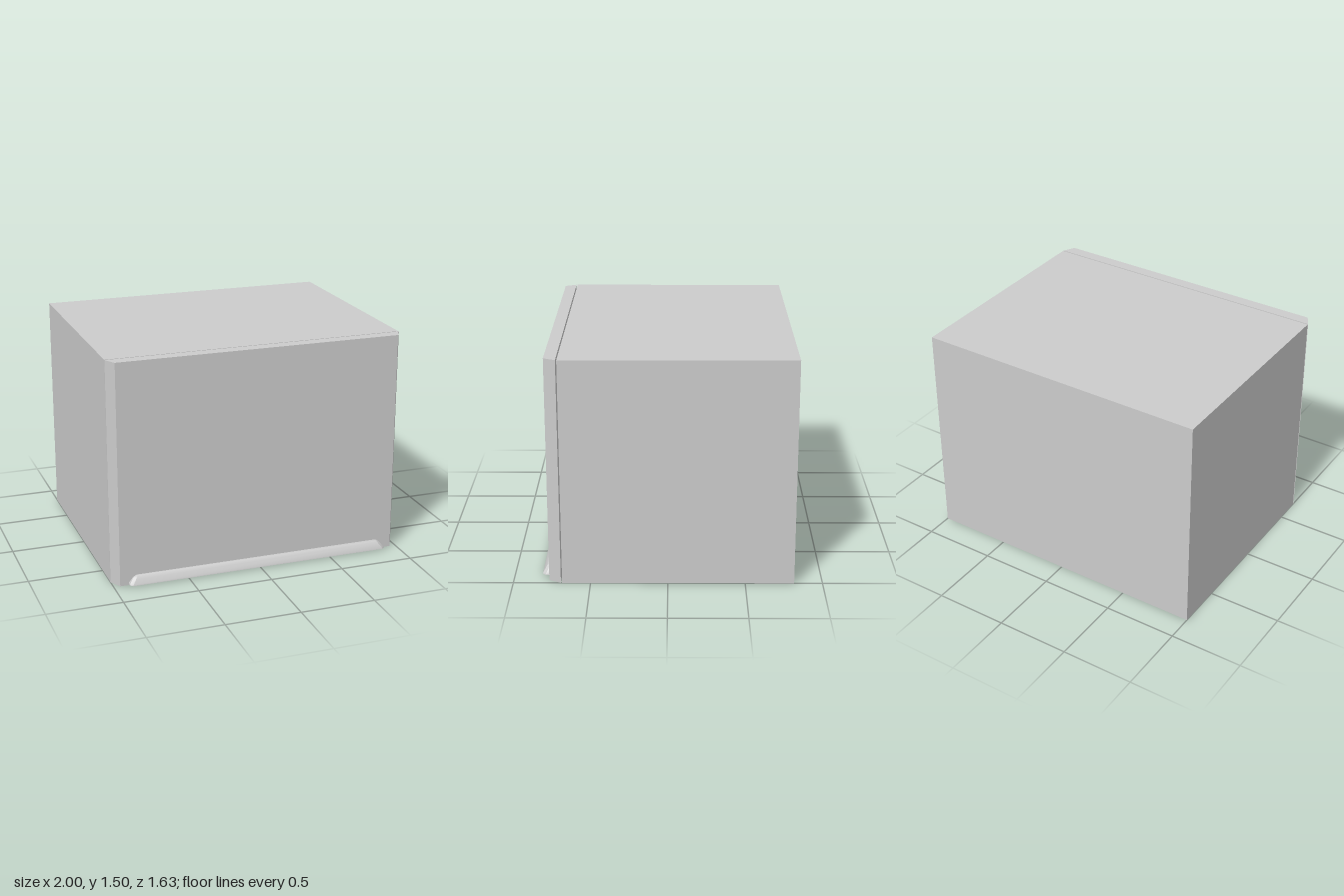
import * as THREE from 'three';
import { toCreasedNormals } from 'three/addons/utils/BufferGeometryUtils.js';

const HEIGHT = 1.5;
const PANEL_FRONT = 0.77;

const material = () => new THREE.MeshStandardMaterial({ color: 0xcccccc });

function add(group, name, geometry) {
  const mesh = new THREE.Mesh(geometry, material());
  mesh.name = name;
  group.add(mesh);
  return mesh;
}

// Skins a stack of equal-length rings (counter-clockwise from above, bottom to top) and caps both ends
function loft(rings) {
  const n = rings[0].length;
  const index = [];
  for (let r = 0; r < rings.length - 1; r++) {
    for (let i = 0; i < n; i++) {
      const a = r * n + i, b = r * n + (i + 1) % n;
      index.push(a, b, b + n, a, b + n, a + n);
    }
  }
  const top = (rings.length - 1) * n;
  for (let i = 1; i < n - 1; i++) {
    index.push(0, i + 1, i, top, top + i, top + i + 1);
  }
  const geometry = new THREE.BufferGeometry();
  geometry.setAttribute('position', new THREE.Float32BufferAttribute(rings.flat(2), 3));
  geometry.setIndex(index);
  return toCreasedNormals(geometry, 0.5);
}

// One level of the pull: a rectangle against the panel with chamfered front corners
function pullRing([y, halfWidth, z]) {
  const c = Math.min(0.018, (z - PANEL_FRONT) * 0.6);
  const half = [[halfWidth, PANEL_FRONT], [halfWidth, z - c], [halfWidth - c, z]];
  const right = half.map(([x, pz]) => [-x, y, pz]);
  const left = half.map(([x, pz]) => [x, y, pz]).reverse();
  return [...right, ...left];
}

export function createModel() {
  const model = new THREE.Group();
  model.name = 'cabinet';

  // Main box
  const body = add(model, 'body', new THREE.BoxGeometry(2, HEIGHT, 1.501));
  body.position.set(0, HEIGHT / 2, -0.0665);

  // Front panel with bevelled sides, separated from the body by a thin gap
  const panelRing = (y) => [
    [-1, y, 0.692], [-0.957, y, PANEL_FRONT], [0.957, y, PANEL_FRONT], [1, y, 0.692],
  ];
  add(model, 'frontPanel', loft([panelRing(0), panelRing(HEIGHT)]));

  // Low sloping pull along the bottom of the panel: [y, half width, front z]
  const levels = [
    [0.01, 0.9, 0.818],
    [0.018, 0.898, 0.816],
    [0.045, 0.876, 0.799],
    [0.056, 0.865, 0.792],
    [0.063, 0.853, 0.785],
    [0.066, 0.84, 0.778],
  ];
  add(model, 'pullHandle', loft(levels.map(pullRing)));

  return model;
}
